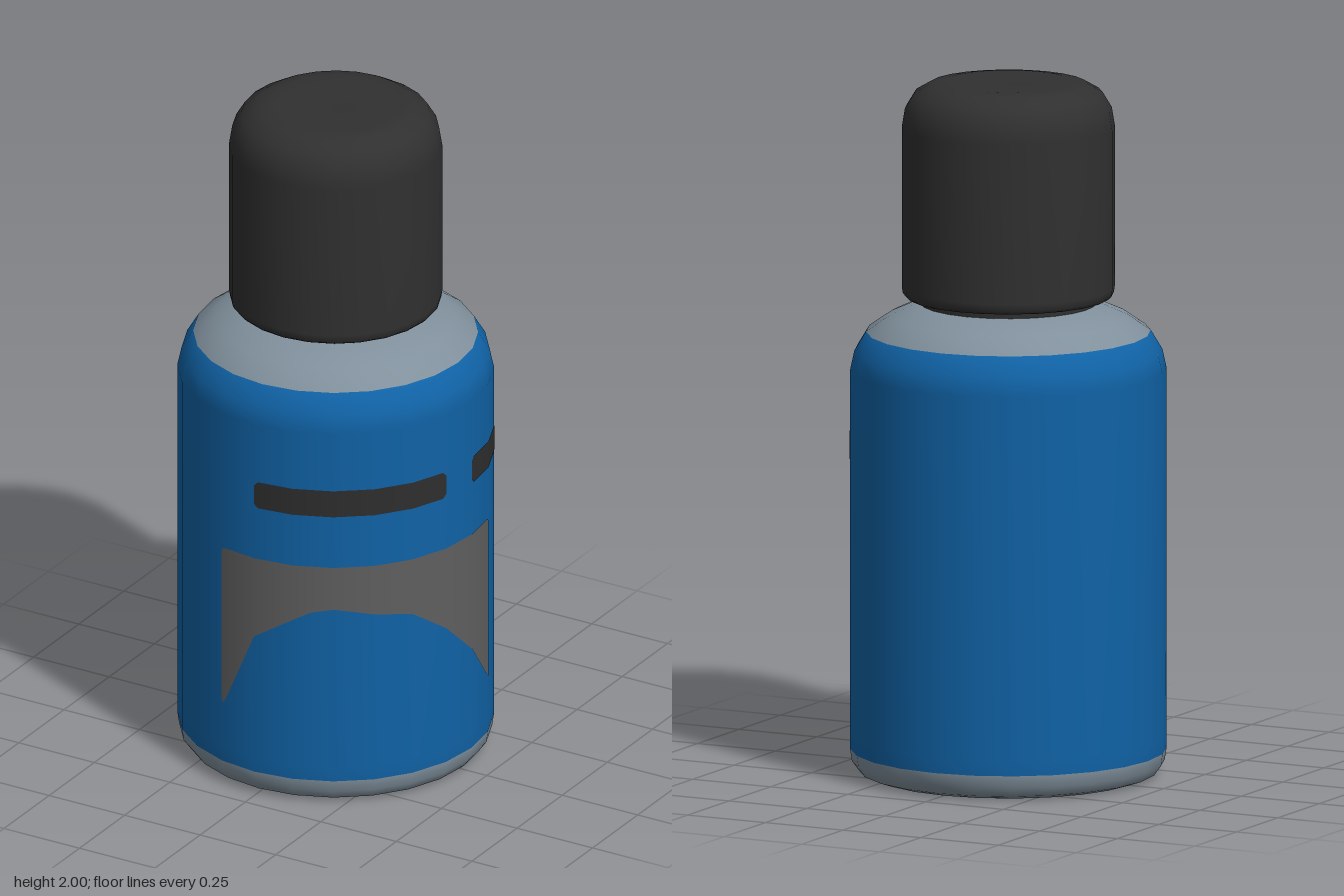
import * as THREE from 'three';

const SIDES = 24;
const RADIUS = 0.45;

const material = (name, color, side = THREE.FrontSide) => {
  const m = new THREE.MeshStandardMaterial({ color, side });
  m.name = name;
  return m;
};

const lathe = (profile) =>
  new THREE.LatheGeometry(profile.map(([r, y]) => new THREE.Vector2(r, y)), SIDES);

// Sorts the faces of a lathe into material groups, one material number per profile band
function groupBands(geometry, bands) {
  const old = geometry.index.array;
  const sorted = [];
  geometry.clearGroups();
  for (const m of [0, 1]) {
    const start = sorted.length;
    for (let s = 0; s < SIDES; s++) {
      bands.forEach((b, j) => {
        const o = (s * bands.length + j) * 6;
        if (b === m) sorted.push(...old.slice(o, o + 6));
      });
    }
    geometry.addGroup(start, sorted.length - start, m);
  }
  geometry.setIndex(sorted);
  return geometry;
}

// Thin decal lying on the faceted wall; columns are [degrees, bottom y, top y]
function decal(columns) {
  const pos = [], normal = [], index = [];
  const step = 360 / SIDES;
  columns.forEach(([deg, low, high], i) => {
    const a = THREE.MathUtils.degToRad(deg);
    const mid = (Math.floor(deg / step) + 0.5) * step;
    const half = THREE.MathUtils.degToRad(step / 2);
    const r = (RADIUS * Math.cos(half)) / Math.cos(a - THREE.MathUtils.degToRad(mid)) + 0.002;
    for (const y of [low, high]) {
      pos.push(r * Math.sin(a), y, r * Math.cos(a));
      normal.push(Math.sin(a), 0, Math.cos(a));
    }
    if (i > 0) {
      const k = 2 * i;
      index.push(k - 2, k, k + 1, k - 2, k + 1, k - 1);
    }
  });
  const g = new THREE.BufferGeometry();
  g.setAttribute('position', new THREE.Float32BufferAttribute(pos, 3));
  g.setAttribute('normal', new THREE.Float32BufferAttribute(normal, 3));
  g.setIndex(index);
  return g;
}

// Horizontal bar with softened corners
function bar(from, to, low, high) {
  const c = 0.012;
  const columns = [[from, low + c, high - c], [from + 1.5, low, high]];
  for (let d = from + 15; d < to; d += 15) columns.push([d, low, high]);
  columns.push([to - 1.5, low, high], [to, low + c, high - c]);
  return decal(columns);
}

export function createModel() {
  const group = new THREE.Group();
  const blue = material('blue label', 0x1062a5);
  const slate = material('slate plastic', 0x80909c);
  const black = material('black plastic', 0x303030);
  const grey = material('grey print', 0x5f5f5f, THREE.DoubleSide);
  const ink = material('dark print', 0x2e2e2e, THREE.DoubleSide);

  const add = (name, geometry, mat) => {
    const mesh = new THREE.Mesh(geometry, mat);
    mesh.name = name;
    group.add(mesh);
  };

  // Bottle: slate base and shoulder, blue wall between
  const body = lathe([
    [0, 0.015], [0.34, 0.012], [0.39, 0], [0.425, 0.012], [0.445, 0.04], [RADIUS, 0.075],
    [RADIUS, 0.12], [RADIUS, 1.17], [0.438, 1.225], [0.405, 1.28],
    [0.34, 1.325], [0.26, 1.36], [0.2, 1.362],
  ]);
  add('bottle', groupBands(body, [1, 1, 1, 1, 1, 0, 0, 0, 0, 1, 1, 1]), [blue, slate]);

  // Neck and cap
  add('neck', new THREE.CylinderGeometry(0.25, 0.25, 0.06, SIDES), black);
  group.children.at(-1).position.y = 1.38;
  add('cap', lathe([
    [0, 1.38], [0.29, 1.38], [0.3, 1.39], [0.303, 1.41], [0.303, 1.87], [0.294, 1.925],
    [0.268, 1.968], [0.225, 1.993], [0.18, 2], [0, 1.996],
  ]), black);

  // Printed bars and arched patch around the front left
  add('longBar', bar(0, 75, 0.91, 0.992), ink);
  add('shortBar', bar(90, 120, 0.91, 0.992), ink);
  const top = 0.75;
  add('archedPatch', decal([
    [-15, 0.27, top - 0.01], [-14, 0.262, top], [-12.5, 0.285, top], [0, 0.503, top],
    [15, 0.577, top], [22, 0.605, top], [30, 0.618, top], [45, 0.597, top], [60, 0.577, top],
    [75, 0.498, top], [90, 0.388, top], [104, 0.255, top], [105, 0.252, top - 0.01],
  ]), grey);

  return group;
}
